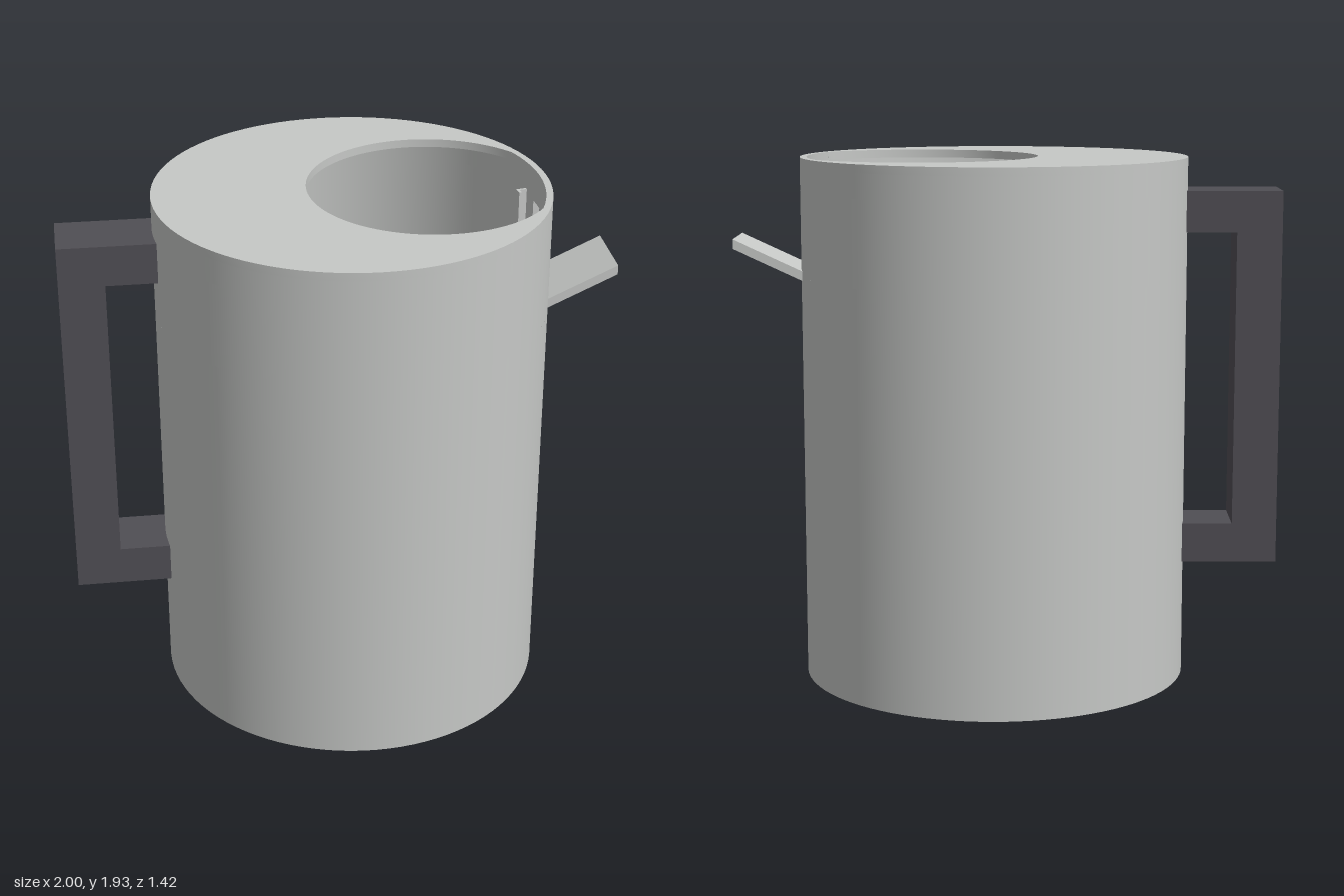
import * as THREE from 'three';
import { toCreasedNormals } from 'three/addons/utils/BufferGeometryUtils.js';

const R = 0.71, RI = 0.685;          // outer and inner wall radius
const H = 1.93, LID = 0.03, FLOOR = 0.03;
const WIN_LOW = 1.5, WIN_TOP = 1.81; // pouring window
const HALF = Math.asin(0.09 / R);    // half angle of the window

export function createModel() {
  const steel = new THREE.MeshStandardMaterial({ color: 0xc6c8c6, side: THREE.DoubleSide });
  steel.name = 'brushed steel';
  const dark = new THREE.MeshStandardMaterial({ color: 0x504e54 });
  dark.name = 'dark handle';

  const model = new THREE.Group();
  model.name = 'pitcher';
  const body = new THREE.Group();
  body.name = 'body';
  body.position.x = 0.05;
  model.add(body);

  const add = (parent, name, geometry, material) => {
    const mesh = new THREE.Mesh(geometry, material);
    mesh.name = name;
    parent.add(mesh);
    return mesh;
  };

  // Walls: bands below, beside and above the window
  const band = (name, r, y0, y1, gap) => {
    const g = new THREE.CylinderGeometry(r, r, y1 - y0, 96, 1, true,
      Math.PI / 2 + gap, Math.PI * 2 - gap * 2);
    g.translate(0, (y0 + y1) / 2, 0);
    add(body, name, g, steel);
  };
  for (const [name, r, base] of [['outerWall', R, 0], ['innerWall', RI, FLOOR]]) {
    band(name + 'Lower', r, base, WIN_LOW, 0);
    band(name + 'Middle', r, WIN_LOW, WIN_TOP, HALF);
    band(name + 'Upper', r, WIN_TOP, H - LID, 0);
  }

  // Window edges
  for (const y of [WIN_LOW, WIN_TOP]) {
    const g = new THREE.RingGeometry(RI, R, 8, 1, -HALF, HALF * 2);
    g.rotateX(-Math.PI / 2).translate(0, y, 0);
    add(body, y === WIN_LOW ? 'windowSill' : 'windowHead', g, steel);
  }
  for (const side of [-1, 1]) {
    const g = new THREE.PlaneGeometry(R - RI, WIN_TOP - WIN_LOW);
    g.translate((R + RI) / 2, (WIN_LOW + WIN_TOP) / 2, 0).rotateY(side * HALF);
    add(body, 'windowJamb', g, steel);
  }

  // Base and inner floor
  add(body, 'base', new THREE.CircleGeometry(R, 96).rotateX(Math.PI / 2), steel);
  add(body, 'floor', new THREE.CircleGeometry(RI, 96).rotateX(-Math.PI / 2).translate(0, FLOOR, 0), steel);

  // Lid with an off-centre opening cut short by the inner wall
  const lid = new THREE.Shape().absarc(0, 0, R, 0, Math.PI * 2, false);
  const a = Math.atan2(0.264, 0.352), b = Math.atan2(0.264, 0.632);
  const opening = new THREE.Path();
  opening.absarc(0.28, 0, 0.44, a, Math.PI * 2 - a, false);
  opening.absarc(0, 0, RI, -b, b, false);
  lid.holes.push(opening);
  const lidGeo = new THREE.ExtrudeGeometry(lid, { depth: LID, bevelEnabled: false, curveSegments: 48 });
  lidGeo.rotateX(-Math.PI / 2).translate(0, H - LID, 0);
  add(body, 'lid', toCreasedNormals(lidGeo, 0.5), steel);

  // L-shaped strainer rails inside the window
  for (const side of [-1, 1]) {
    const rail = new THREE.Group();
    rail.name = side > 0 ? 'frontRail' : 'backRail';
    rail.rotation.y = -side * 0.21;
    add(rail, 'railWeb', new THREE.BoxGeometry(0.04, 0.36, 0.01).translate(0.667, 1.65, side * 0.012), steel);
    add(rail, 'railLip', new THREE.BoxGeometry(0.01, 0.36, 0.03).translate(0.65, 1.65, 0), steel);
    body.add(rail);
  }

  // Extrudes an outline in x and y, centred on z
  const slab = (name, points, width, material) => {
    const shape = new THREE.Shape(points.map(([x, y]) => new THREE.Vector2(x, y)));
    const g = new THREE.ExtrudeGeometry(shape, { depth: width, bevelEnabled: false });
    add(model, name, g.translate(0, 0, -width / 2), material);
  };

  // Sloping pouring lip
  slab('spout', [[0.74, 1.48], [1, 1.6], [1, 1.635], [0.74, 1.515]], 0.27, steel);

  // Square handle, its arms passing through the wall
  slab('handle', [[-0.615, 0.43], [-0.615, 0.575], [-0.835, 0.575], [-0.835, 1.66],
    [-0.615, 1.66], [-0.615, 1.81], [-1, 1.81], [-1, 0.43]], 0.23, dark);

  return model;
}
